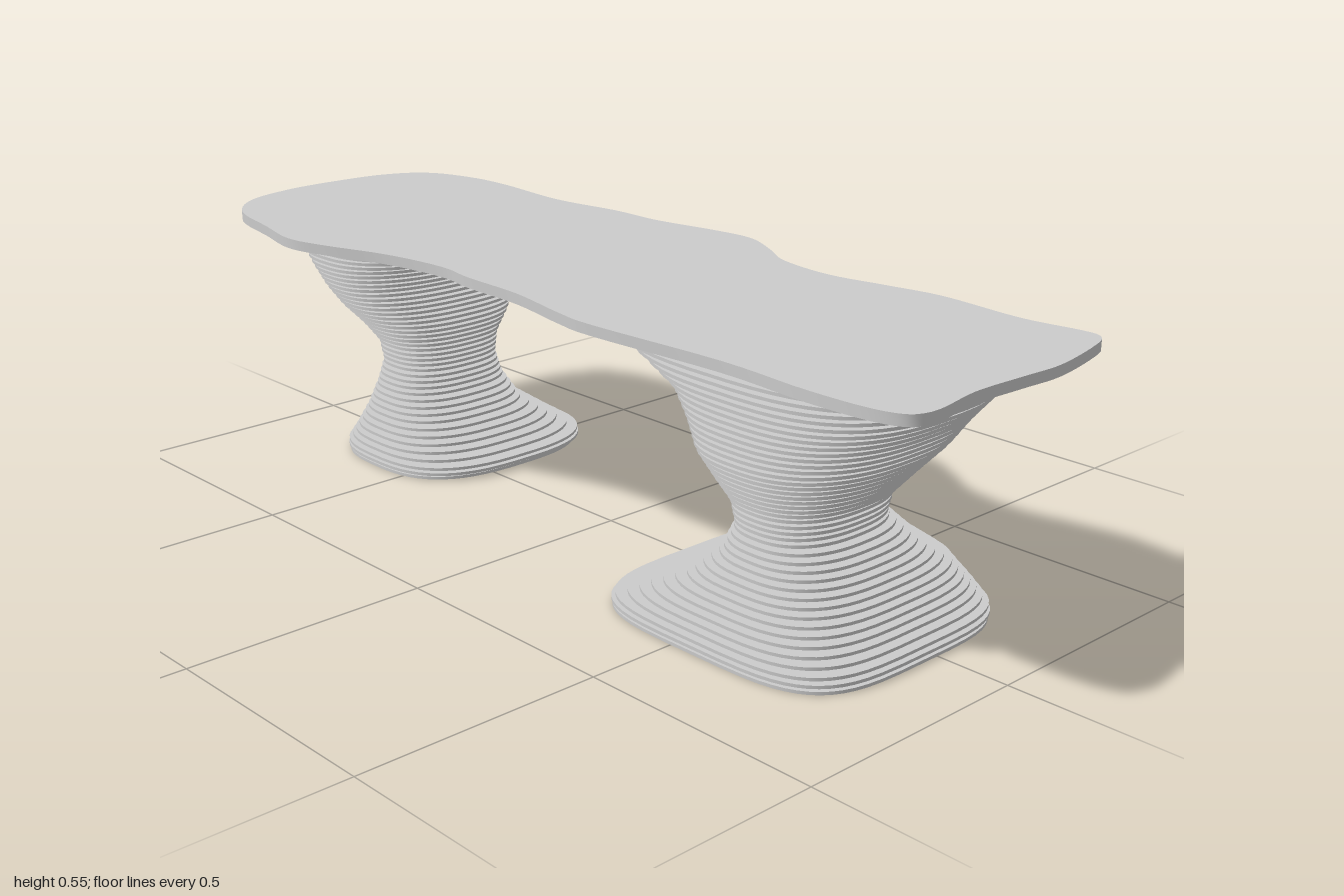
import * as THREE from 'three';
import { toCreasedNormals } from 'three/addons/utils/BufferGeometryUtils.js';

const SLICES = 42, PITCH = 0.0123, THICK = 0.0062;
const material = new THREE.MeshStandardMaterial({ color: 0xcccccc });

// Wavy outline of the table top, as x, z pairs
const OUTLINE = [
  [0, -1], [0.15, -0.985], [0.25, -0.93], [0.295, -0.82], [0.305, -0.7], [0.292, -0.5],
  [0.315, -0.33], [0.318, -0.2], [0.345, -0.05], [0.35, 0.05], [0.31, 0.14], [0.265, 0.22],
  [0.248, 0.35], [0.27, 0.48], [0.288, 0.6], [0.275, 0.78], [0.29, 0.9], [0.282, 0.945],
  [0.23, 0.968], [0.1, 0.992], [0, 0.988], [-0.12, 0.983], [-0.25, 0.998], [-0.3, 0.95],
  [-0.312, 0.8], [-0.302, 0.6], [-0.32, 0.3], [-0.312, 0.2], [-0.285, 0.05], [-0.28, -0.1],
  [-0.268, -0.2], [-0.29, -0.35], [-0.34, -0.5], [-0.36, -0.6], [-0.335, -0.72],
  [-0.3, -0.87], [-0.22, -0.96], [-0.1, -0.995],
];

// Leg profiles: height, x min, x max, z min, z max, squareness of the slice
const FRONT_LEG = [
  [0, -0.315, 0.25, 0.25, 0.85, 4], [0.02, -0.32, 0.26, 0.25, 0.85, 4],
  [0.05, -0.3, 0.25, 0.31, 0.82, 3.6], [0.1, -0.26, 0.22, 0.4, 0.78, 3],
  [0.15, -0.225, 0.15, 0.46, 0.74, 2.6], [0.2, -0.2, 0.1, 0.48, 0.7, 2.4],
  [0.25, -0.21, 0.11, 0.47, 0.71, 2.4], [0.3, -0.245, 0.16, 0.44, 0.75, 2.4],
  [0.35, -0.275, 0.21, 0.41, 0.79, 2.5], [0.4, -0.28, 0.24, 0.385, 0.82, 2.6],
  [0.45, -0.28, 0.26, 0.34, 0.86, 2.7], [0.48, -0.28, 0.265, 0.27, 0.87, 2.8],
  [0.515, -0.275, 0.27, 0.16, 0.9, 2.8],
];
const BACK_LEG = [
  [0, -0.17, 0.325, -0.8, -0.38, 2.8], [0.02, -0.18, 0.335, -0.8, -0.36, 2.8],
  [0.05, -0.16, 0.29, -0.78, -0.41, 2.7], [0.1, -0.12, 0.22, -0.76, -0.48, 2.6],
  [0.15, -0.09, 0.2, -0.75, -0.53, 2.5], [0.2, -0.07, 0.19, -0.745, -0.545, 2.5],
  [0.25, -0.08, 0.195, -0.75, -0.54, 2.5], [0.3, -0.12, 0.225, -0.77, -0.525, 2.5],
  [0.35, -0.17, 0.255, -0.78, -0.525, 2.5], [0.4, -0.21, 0.275, -0.785, -0.52, 2.5],
  [0.45, -0.24, 0.28, -0.8, -0.49, 2.5], [0.48, -0.25, 0.28, -0.83, -0.45, 2.5],
  [0.515, -0.26, 0.28, -0.9, -0.38, 2.5],
];

// Flat plate with the given x, z outline, rising from y by height
function plate(name, points, y, height) {
  const geometry = new THREE.ExtrudeGeometry(new THREE.Shape(points), {
    depth: height, bevelEnabled: false,
  });
  geometry.rotateX(Math.PI / 2).translate(0, y + height, 0);
  const mesh = new THREE.Mesh(toCreasedNormals(geometry, 0.6), material);
  mesh.name = name;
  return mesh;
}

// Profile row interpolated at height y
function profileAt(keys, y) {
  let i = 0;
  while (i < keys.length - 2 && keys[i + 1][0] < y) i++;
  const a = keys[i], b = keys[i + 1];
  const t = THREE.MathUtils.clamp((y - a[0]) / (b[0] - a[0]), 0, 1);
  return a.map((v, k) => THREE.MathUtils.lerp(v, b[k], t));
}

// Rounded-square slice filling the profile's extents
function sliceOutline([, x0, x1, z0, z1, n], count = 56) {
  const power = (v) => Math.sign(v) * Math.abs(v) ** (2 / n);
  return Array.from({ length: count }, (_, i) => {
    const a = ((i + 0.5) / count) * Math.PI * 2;
    return new THREE.Vector2(
      (x0 + x1) / 2 + ((x1 - x0) / 2) * power(Math.cos(a)),
      (z0 + z1) / 2 + ((z1 - z0) / 2) * power(Math.sin(a)),
    );
  });
}

// Stack of spaced slices threaded on a vertical rod
function leg(name, keys, rodX, rodZ) {
  const group = new THREE.Group();
  group.name = name;
  for (let i = 0; i < SLICES; i++) {
    const y = i * PITCH;
    group.add(plate('legSlice', sliceOutline(profileAt(keys, y)), y, THICK));
  }
  const rod = new THREE.Mesh(new THREE.CylinderGeometry(0.0125, 0.0125, 0.528, 24), material);
  rod.name = 'rod';
  rod.position.set(rodX, 0.266, rodZ);
  group.add(rod);
  return group;
}

export function createModel() {
  const table = new THREE.Group();
  table.name = 'table';

  const curve = new THREE.SplineCurve([...OUTLINE, OUTLINE[0]].map(([x, z]) => new THREE.Vector2(x, z)));
  const outline = curve.getPoints(OUTLINE.length * 5).slice(0, -1);
  table.add(plate('tableTop', outline, 0.53, 0.021));

  // Shared top layer joining both legs under the table top
  const inset = outline.map((p) => new THREE.Vector2(p.x * 0.82 + 0.02, p.y * 0.9));
  table.add(plate('joiningLayer', inset, SLICES * PITCH, THICK));

  table.add(leg('frontLeg', FRONT_LEG, -0.032, 0.61));
  table.add(leg('backLeg', BACK_LEG, 0.083, -0.665));
  return table;
}
